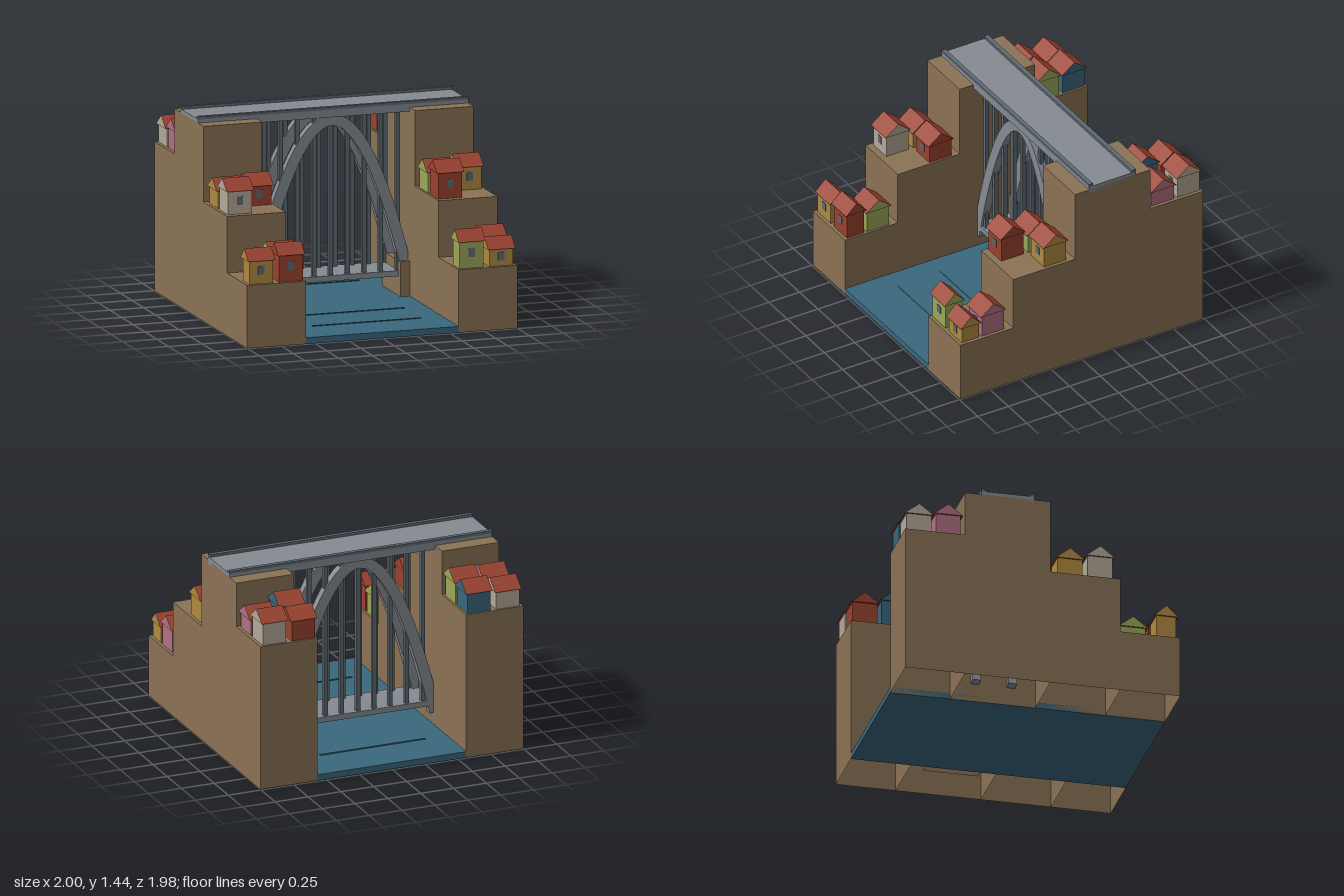
import * as THREE from 'three';

const mat = (name, color, side = THREE.FrontSide) => {
  const m = new THREE.MeshStandardMaterial({ color, side });
  m.name = name;
  return m;
};

export function createModel() {
  const rock = mat('rock', 0x8b7355, THREE.DoubleSide);
  const steel = mat('steel', 0x868b92);
  const slate = mat('slate', 0x5f6b73);
  const water = mat('water', 0x3a677d);
  const roofRed = mat('roofRed', 0x9a422f);
  const ochre = mat('ochre', 0xb08a40);
  const green = mat('green', 0x9aa858);
  const cream = mat('cream', 0xb3a998);
  const pink = mat('pink', 0xb07083);

  const model = new THREE.Group();
  model.name = 'gorgeBridge';

  const add = (name, geometry, material, parent = model) => {
    const mesh = new THREE.Mesh(geometry, material);
    mesh.name = name;
    parent.add(mesh);
    return mesh;
  };
  // Box given by its limits on each axis
  const box = (name, [x0, x1], [y0, y1], [z0, z1], material, parent, openBottom = false) => {
    const g = new THREE.BoxGeometry(x1 - x0, y1 - y0, z1 - z0);
    g.translate((x0 + x1) / 2, (y0 + y1) / 2, (z0 + z1) / 2);
    if (openBottom) {
      const index = Array.from(g.index.array);
      index.splice(18, 6);
      g.setIndex(index);
      g.clearGroups();
    }
    return add(name, g, material, parent);
  };

  // Stepped cliffs: hollow blocks, open underneath
  const terraces = [
    [0.56, 0.99, 0.45],
    [0.055, 0.56, 0.855],
    [-0.56, 0.055, 1.395],
    [-0.99, -0.56, 1.07],
  ];
  for (const [name, xs] of [['rightCliff', [-1, -0.565]], ['leftCliff', [0.565, 1]]]) {
    const cliff = new THREE.Group();
    cliff.name = name;
    model.add(cliff);
    for (const [z0, z1, top] of terraces) box('terrace', xs, [0, top], [z0, z1], rock, cliff, true);
  }
  box('abutment', [0.495, 0.63], [0, 0.295], [-0.45, -0.055], rock, model, true);

  // River with faint raised ripples
  box('river', [-0.565, 0.565], [0, 0.045], [-0.99, 0.99], water);
  for (const z of [-0.65, 0.3, 0.65]) box('ripple', [-0.4, 0.4], [0.045, 0.05], [z - 0.008, z + 0.008], water);

  // Bridge decks and kerbs
  const mid = -0.25;
  box('upperDeck', [-1, 1], [1.365, 1.42], [mid - 0.19, mid + 0.19], steel);
  box('lowerDeck', [-0.565, 0.495], [0.185, 0.225], [mid - 0.16, mid + 0.16], steel);
  for (const s of [-1, 1]) {
    const z = mid + s * 0.175;
    box('railing', [-1, 1], [1.42, 1.44], [z - 0.016, z + 0.016], slate);
  }

  // Arch ribs: a parabola thickened along its normal
  const rise = 1.34, k = 3.58, half = 0.58, steps = 24, thick = 0.04;
  const edge = (offset) => Array.from({ length: steps + 1 }, (_, i) => {
    const x = -half + (2 * half * i) / steps;
    const n = new THREE.Vector2(2 * k * x, 1).normalize().multiplyScalar(offset);
    return new THREE.Vector2(x + n.x, rise - k * x * x + n.y);
  });
  const ribShape = new THREE.Shape([...edge(-thick), ...edge(thick).reverse()]);
  for (const s of [-1, 1]) {
    const z = mid + s * 0.13;
    const rib = new THREE.ExtrudeGeometry(ribShape, { depth: 0.06, bevelEnabled: false });
    add('archRib', rib.translate(0, 0, z - 0.03), steel);
    // Uprights between the decks
    for (let i = -4; i <= 4; i++) {
      const x = i * 0.1235;
      box('upright', [x - 0.015, x + 0.015], [0.225, 1.365], [z - 0.015, z + 0.015], slate);
    }
  }

  // House: walls, gabled roof with painted gable ends, front window
  const house = (x, z, base, apex, wall, depth = 0.18) => {
    const g = new THREE.Group();
    g.name = 'house';
    g.position.set(x, base, z);
    model.add(g);
    const h = apex - base - 0.08, d = depth / 2, e = d + 0.014;
    box('walls', [-0.088, 0.088], [0, h], [-d, d], wall, g);
    const gable = new THREE.Shape([
      new THREE.Vector2(-e, h), new THREE.Vector2(e, h), new THREE.Vector2(0, h + 0.08),
    ]);
    const roof = new THREE.ExtrudeGeometry(gable, { depth: 0.2, bevelEnabled: false });
    roof.translate(0, 0, -0.1).rotateY(Math.PI / 2);
    add('roof', roof, [wall, roofRed], g);
    const wy = h * 0.58;
    box('window', [-0.023, 0.023], [wy - 0.03, wy + 0.03], [d - 0.002, d + 0.004], slate, g);
  };

  const inner = 0.668, outer = 0.888;
  const houses = [
    // low front terrace
    [-outer, 0.895, 0.45, 0.695, ochre, 0.14],
    [-inner, 0.895, 0.45, 0.72, roofRed, 0.14],
    [inner, 0.895, 0.45, 0.72, green, 0.14],
    [outer, 0.895, 0.45, 0.652, ochre, 0.14],
    [-inner, 0.712, 0.45, 0.69, green],
    [outer, 0.712, 0.45, 0.695, pink],
    // middle terrace
    [-outer, 0.42, 0.855, 1.1, cream],
    [inner, 0.42, 0.855, 1.12, roofRed],
    [-outer, 0.203, 0.855, 1.06, ochre],
    [-inner, 0.203, 0.855, 1.075, roofRed],
    [inner, 0.203, 0.855, 1.08, green],
    [outer, 0.203, 0.855, 1.1, ochre],
    // rear terrace
    [-outer, -0.675, 1.07, 1.3, pink],
    [-inner, -0.675, 1.07, 1.31, green],
    [inner, -0.675, 1.07, 1.335, water],
    [outer, -0.675, 1.07, 1.268, pink],
    [-outer, -0.885, 1.07, 1.28, cream],
    [-inner, -0.885, 1.07, 1.3, water],
    [inner, -0.885, 1.07, 1.3, roofRed],
    [outer, -0.885, 1.07, 1.315, cream],
  ];
  for (const h of houses) house(...h);

  return model;
}
